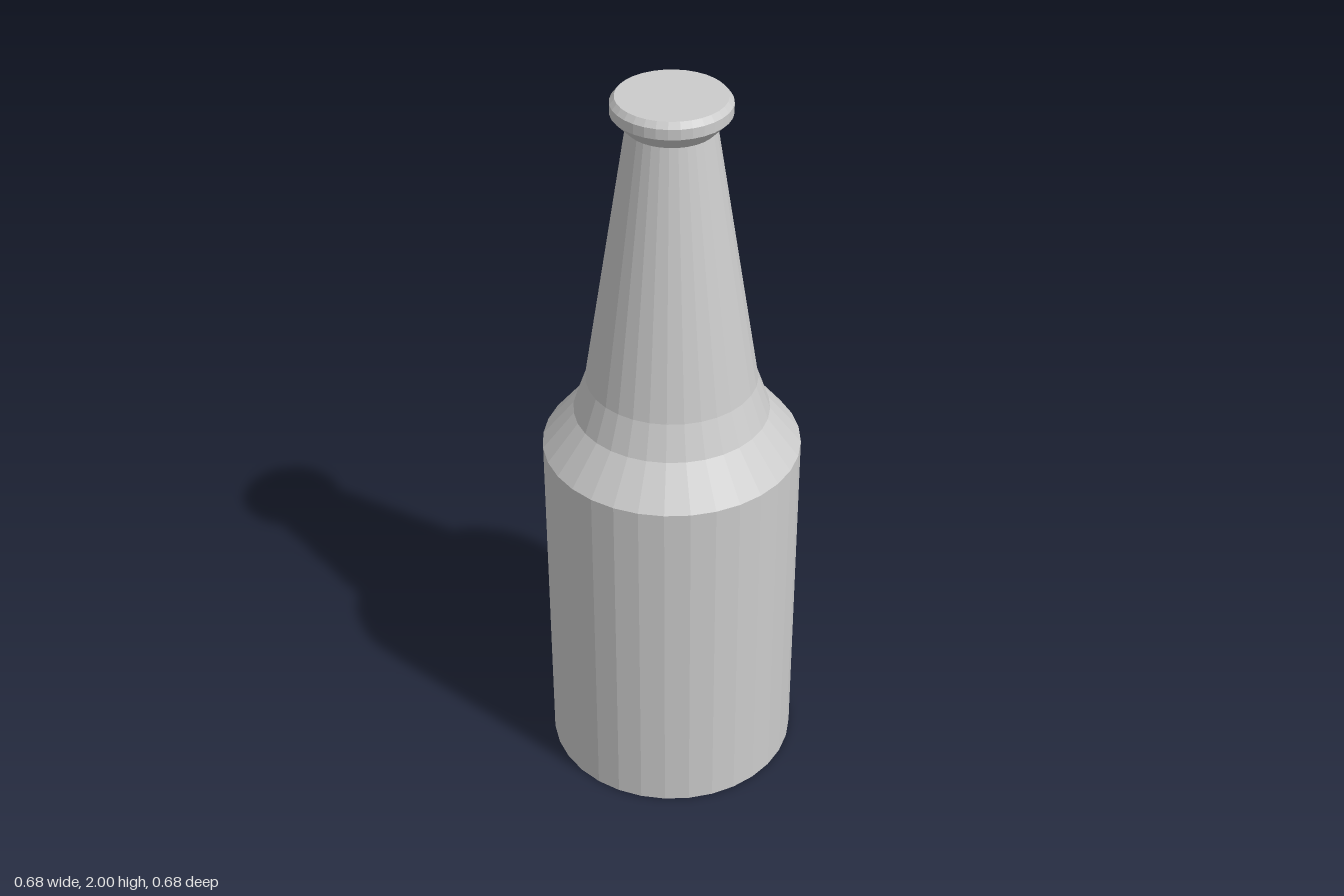
import * as THREE from 'three';

const SIDES = 32;

// Turns a [radius, height] profile (bottom to top) into a faceted solid
function turned(name, profile, material) {
  const points = profile.map(([r, y]) => new THREE.Vector2(r, y));
  const mesh = new THREE.Mesh(new THREE.LatheGeometry(points, SIDES), material);
  mesh.name = name;
  return mesh;
}

export function createModel() {
  const material = new THREE.MeshStandardMaterial({ color: 0xcccccc, flatShading: true });
  const bottle = new THREE.Group();
  bottle.name = 'bottle';

  bottle.add(
    // straight body with a flat base
    turned('body', [[0, 0], [0.342, 0], [0.342, 1]], material),
    // sloping shoulder in two bands
    turned('shoulder', [[0.342, 1], [0.258, 1.105], [0.225, 1.2]], material),
    // long tapering neck
    turned('neck', [[0.225, 1.2], [0.112, 1.918]], material),
    // flared lip closed by a flat top
    turned('lip', [[0.112, 1.918], [0.15, 1.958], [0.15, 1.985], [0.138, 2], [0, 2]], material)
  );
  return bottle;
}
